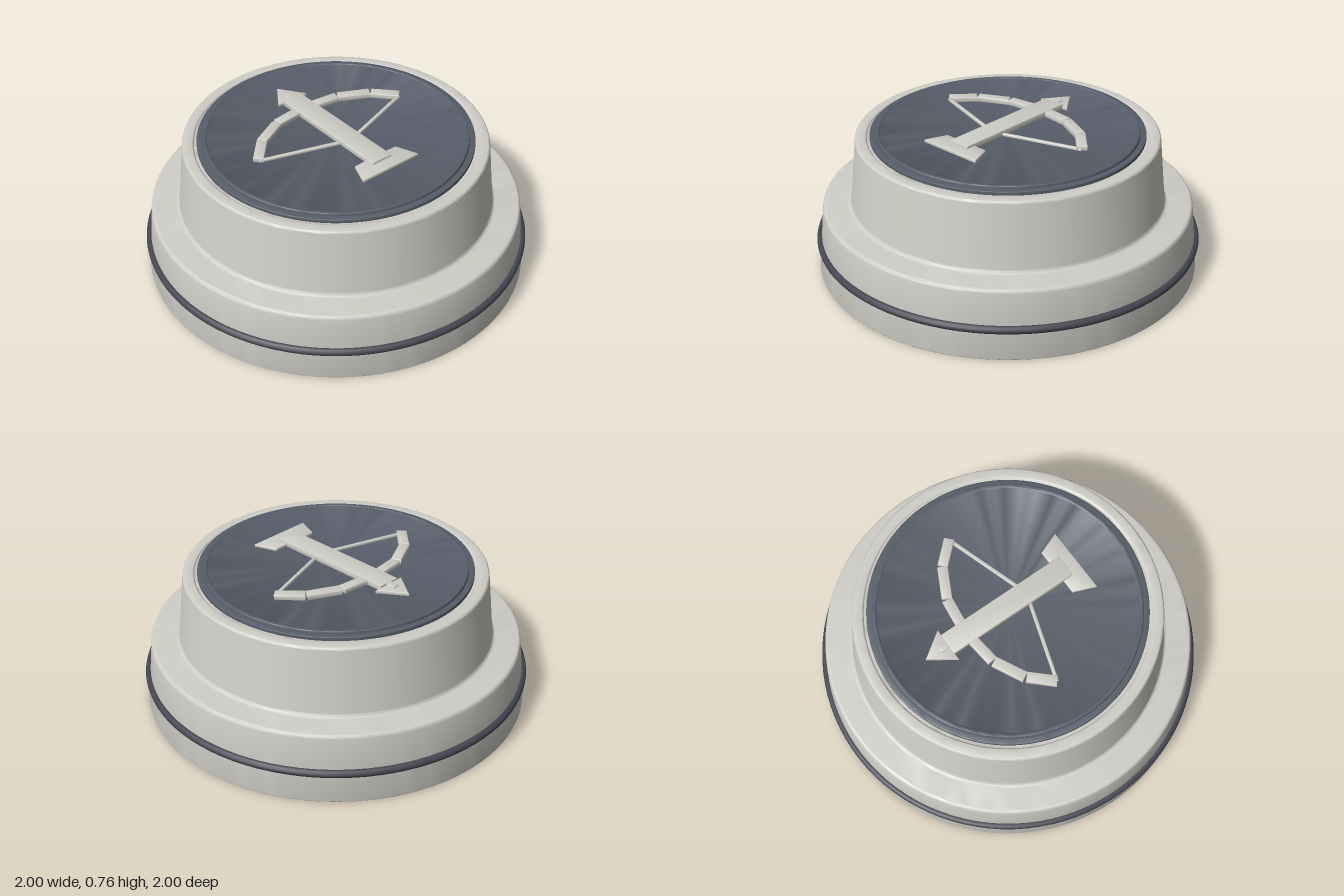
import * as THREE from 'three';
import { toCreasedNormals } from 'three/addons/utils/BufferGeometryUtils.js';

const mat = (name, color) => {
  const m = new THREE.MeshStandardMaterial({ color });
  m.name = name;
  return m;
};

// Profile of [radius, y, corner rounding]; each rounded corner becomes a short curve
const roundedProfile = (points) => points.flatMap(([x, y, r = 0], i) => {
  const corner = new THREE.Vector2(x, y);
  if (!r) return [corner];
  const toward = ([px, py]) => new THREE.Vector2(px, py).sub(corner).setLength(r).add(corner);
  return new THREE.QuadraticBezierCurve(toward(points[i - 1]), corner, toward(points[i + 1])).getPoints(5);
});
const lathe = (points) => toCreasedNormals(new THREE.LatheGeometry(roundedProfile(points), 96), 0.7);

export function createModel() {
  const group = new THREE.Group();
  const shell = mat('warm grey', 0xcecdc6);
  const slate = mat('slate', 0x575d69);
  const dark = mat('dark trim', 0x454651);

  const add = (name, geometry, material) => {
    const mesh = new THREE.Mesh(geometry, material);
    mesh.name = name;
    group.add(mesh);
  };

  // Stepped, tapered housing with a straight hollow underneath
  add('housing', lathe([
    [0, 0.396], [0.8, 0.396], [0.8, 0, 0.01], [0.994, 0, 0.01],
    [0.955, 0.356, 0.018], [0.812, 0.356, 0.02], [0.773, 0.711, 0.014],
    [0.718, 0.711, 0.008], [0.714, 0.704], [0.68, 0.704],
  ]), shell);

  // Trim bead around the base
  add('trimRing', new THREE.TorusGeometry(0.98, 0.02, 12, 96).rotateX(Math.PI / 2).translate(0, 0.16, 0), dark);

  // Top disc with a stepped rim
  add('disc', lathe([
    [0.7, 0.704], [0.7, 0.722, 0.004], [0.671, 0.722], [0.669, 0.736, 0.004],
    [0.651, 0.736, 0.003], [0.647, 0.732], [0, 0.732],
  ]), slate);

  // Raised emblem pieces: outlines in x, z with softly bevelled edges
  const bevel = 0.004;
  const plate = (name, points, top) => {
    const shape = new THREE.Shape(points.map(([x, z]) => new THREE.Vector2(x, -z)));
    const geo = new THREE.ExtrudeGeometry(shape, {
      depth: top - 0.728 - 2 * bevel, bevelThickness: bevel, bevelSize: bevel,
      bevelOffset: -bevel, bevelSegments: 2,
    });
    geo.rotateX(-Math.PI / 2).translate(0, 0.728 + bevel, 0);
    add(name, toCreasedNormals(geo, 0.8), shell);
  };
  const bar = (name, [x1, z1], [x2, z2], width, top) => {
    const len = Math.hypot(x2 - x1, z2 - z1);
    const nx = -(z2 - z1) / len * width / 2, nz = (x2 - x1) / len * width / 2;
    plate(name, [
      [x1 + nx, z1 + nz], [x2 + nx, z2 + nz], [x2 - nx, z2 - nz], [x1 - nx, z1 - nz],
    ], top);
  };

  plate('stock', [[-0.058, 0.352], [0.058, 0.352], [0.058, -0.36], [-0.058, -0.36]], 0.76);
  plate('boltShaft', [[-0.018, -0.34], [0.018, -0.34], [0.018, -0.408], [-0.018, -0.408]], 0.757);
  plate('boltHead', [[-0.092, -0.356], [0.092, -0.356], [0, -0.488]], 0.748);
  plate('stockFoot', [[-0.175, 0.416], [0.175, 0.416], [0.13, 0.3], [-0.13, 0.3]], 0.747);

  // Bow limbs and string, mirrored
  const limb = [
    [[0.04, -0.247], [0.194, -0.229]],
    [[0.2, -0.226], [0.352, -0.149]],
    [[0.356, -0.144], [0.458, -0.035]],
  ];
  for (const s of [1, -1]) {
    const side = s > 0 ? 'left' : 'right';
    limb.forEach(([a, b], i) =>
      bar(`${side}Limb${i + 1}`, [s * a[0], a[1]], [s * b[0], b[1]], 0.053, 0.757));
    bar(`${side}String`, [s * 0.455, -0.035], [s * 0.04, 0.1], 0.018, 0.745);
  }
  return group;
}
